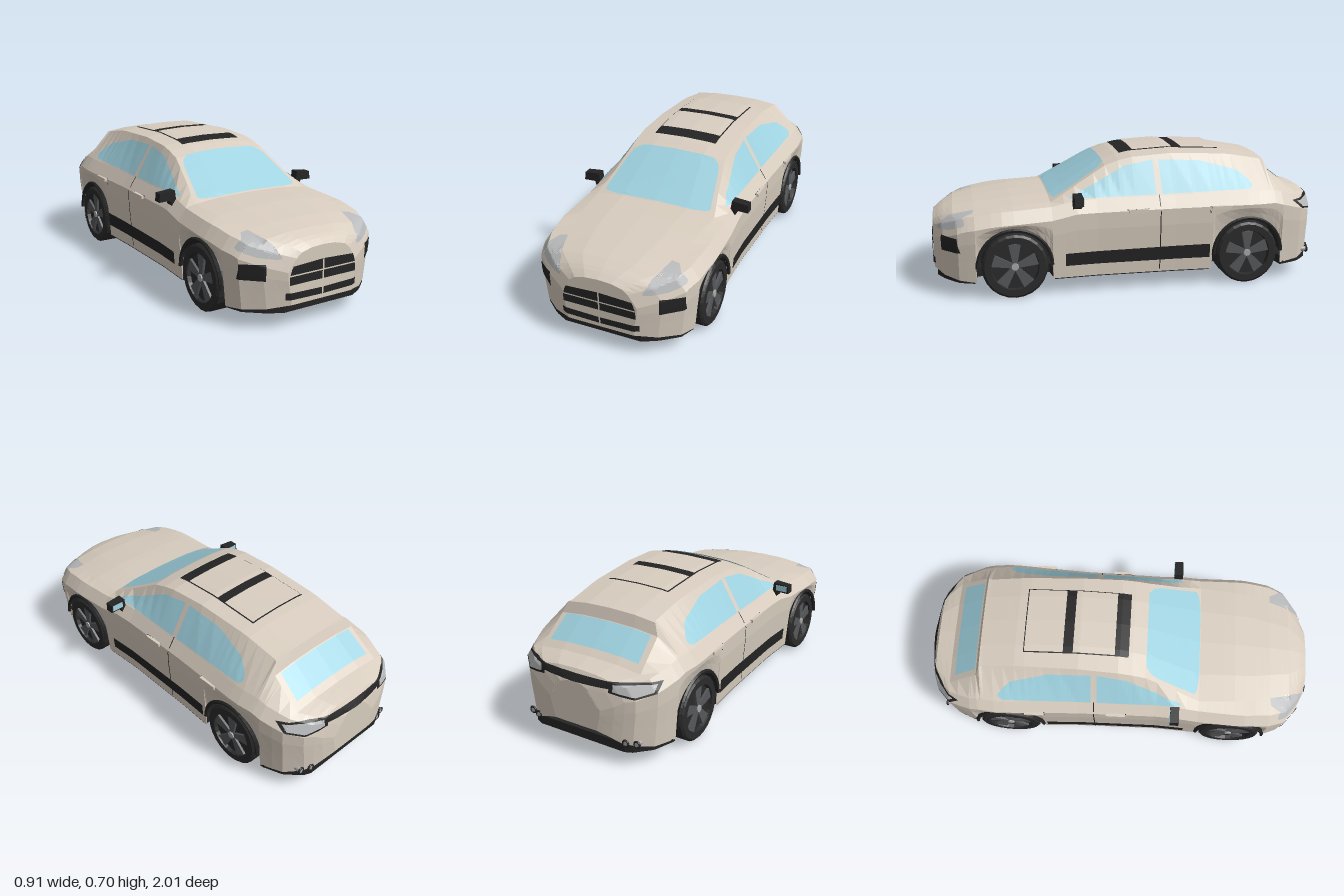
import * as THREE from 'three';

const mat = (color, flat = true) => new THREE.MeshStandardMaterial({ color, flatShading: flat, side: THREE.DoubleSide });
const PAINT = mat(0xd8cdbf), BLACK = mat(0x242424), GLASS = mat(0x9fd2e0), LAMP = mat(0xb9babb);
const RUBBER = mat(0x2a2a2b), SPOKE = mat(0x56575a), SILVER = mat(0xa8a8a8);

// Piecewise linear curve through [z, value] pairs
const curve = (pts) => (z) => {
  if (z <= pts[0][0]) return pts[0][1];
  for (let i = 1; i < pts.length; i++) {
    const [a, va] = pts[i - 1], [b, vb] = pts[i];
    if (z <= b) return va + (vb - va) * (z - a) / (b - a);
  }
  return pts[pts.length - 1][1];
};

const WHEEL_Z = [0.61, -0.58], AXLE_Y = 0.163, ARCH_R = 0.185;
const halfWidth = curve([[-1, 0.14], [-0.98, 0.23], [-0.95, 0.3], [-0.88, 0.37], [-0.78, 0.408], [-0.62, 0.425], [-0.42, 0.415],
  [-0.2, 0.405], [0.2, 0.4], [0.45, 0.412], [0.65, 0.42], [0.8, 0.405], [0.88, 0.375], [0.95, 0.29], [0.985, 0.22], [1, 0.19]]);
const topY = curve([[-1, 0.39], [-0.97, 0.44], [-0.88, 0.462], [-0.725, 0.58], [-0.705, 0.635], [-0.5, 0.672], [-0.2, 0.686],
  [0, 0.675], [0.07, 0.66], [0.14, 0.637], [0.42, 0.475], [0.6, 0.466], [0.8, 0.442], [0.9, 0.422], [0.96, 0.398], [1, 0.37]]);
const beltY = curve([[-1, 0.34], [-0.97, 0.4], [-0.88, 0.435], [-0.72, 0.48], [0.3, 0.47], [0.42, 0.445], [0.7, 0.43],
  [0.85, 0.405], [0.95, 0.36], [1, 0.33]]);
const roofX = curve([[-1, 0.07], [-0.97, 0.2], [-0.88, 0.28], [-0.72, 0.27], [-0.7, 0.238], [-0.2, 0.248], [0.14, 0.26],
  [0.3, 0.29], [0.42, 0.32], [0.7, 0.3], [0.9, 0.24], [1, 0.12]]);
const bottomY = curve([[-1, 0.17], [-0.97, 0.125], [-0.9, 0.1], [-0.7, 0.085], [0.8, 0.085], [0.95, 0.1], [1, 0.115]]);

const sillY = (z) => {
  for (const w of WHEEL_Z) {
    const d = Math.abs(z - w);
    if (d < ARCH_R + 0.0005) return AXLE_Y + Math.sqrt(Math.max(0, ARCH_R ** 2 - d * d));
  }
  return bottomY(z);
};

// Half cross-section from the sill up to the centre line
function section(z) {
  const w = halfWidth(z), s = sillY(z), by = beltY(z), sh = by - 0.06, t = topY(z);
  const bx = w - 0.042, rx = Math.min(roofX(z), bx - 0.02);
  const at = (k) => s + (sh - s) * k;
  const half = [[w - 0.022, s], [w - 0.012, at(0.4)], [w - 0.002, at(0.75)], [w, sh], [bx, by], [rx, Math.max(t - 0.018, by + 0.004)],
    [rx * 0.55, t - 0.004], [0, t]];
  const other = half.slice(0, -1).reverse().map(([x, y]) => [-x, y]);
  return [...half, ...other].map(([x, y]) => [x, y, z]);
}

// Painted shell lofted through the cross-sections, capped at nose and tail
function bodyShell() {
  const zs = [-1, -0.985, -0.97, -0.95, -0.915, -0.88, -0.83, -0.725, -0.705, -0.3, -0.2, -0.1, 0, 0.07, 0.14, 0.2, 0.3, 0.36,
    0.83, 0.86, 0.88, 0.9, 0.93, 0.95, 0.97, 0.985, 1];
  for (const w of WHEEL_Z) {
    for (let i = 0; i <= 10; i++) zs.push(w + ARCH_R * Math.cos(i * Math.PI / 10));
    zs.push(w + ARCH_R + 0.002, w - ARCH_R - 0.002);
  }
  zs.sort((a, b) => a - b);
  const rings = zs.map(section), p = [];
  for (let i = 0; i + 1 < rings.length; i++) {
    for (let j = 0; j + 1 < rings[i].length; j++) {
      const a = rings[i][j], b = rings[i][j + 1], c = rings[i + 1][j + 1], d = rings[i + 1][j];
      p.push(...a, ...b, ...c, ...a, ...c, ...d);
    }
  }
  for (const [ring, flip] of [[rings[0], true], [rings[rings.length - 1], false]]) {
    const mid = [0, 0.25, ring[0][2]];
    ring.forEach((a, j) => {
      const b = ring[(j + 1) % ring.length];
      p.push(...mid, ...(flip ? b : a), ...(flip ? a : b));
    });
  }
  const g = new THREE.BufferGeometry();
  g.setAttribute('position', new THREE.Float32BufferAttribute(p, 3));
  g.computeVertexNormals();
  return g;
}

export function createModel() {
  const car = new THREE.Group();
  car.name = 'car';
  const add = (name, geo, material, pos = [0, 0, 0], parent = car) => {
    const m = new THREE.Mesh(geo, material);
    m.name = name;
    m.position.set(...pos);
    parent.add(m);
    return m;
  };
  const box = (x, y, z) => new THREE.BoxGeometry(x, y, z);
  const body = add('bodyShell', bodyShell(), PAINT);
  body.updateMatrixWorld();

  // Thin panel draped on the shell along an axis; rows are [u, low, high]
  const ray = new THREE.Raycaster();
  function drape(name, material, axis, sign, rows, off = 0.005, mirror = 1) {
    const lo = curve(rows.map((r) => [r[0], r[1]])), hi = curve(rows.map((r) => [r[0], r[2]]));
    const u0 = rows[0][0], u1 = rows[rows.length - 1][0], n = 24, m = 10, pts = [], idx = [];
    const dir = new THREE.Vector3();
    dir[axis] = -sign;
    for (let i = 0; i <= n; i++) {
      for (let j = 0; j <= m; j++) {
        const u = u0 + (u1 - u0) * i / n, v = lo(u) + (hi(u) - lo(u)) * j / m;
        const o = axis === 'x' ? new THREE.Vector3(0, v, u) : axis === 'y' ? new THREE.Vector3(v, 0, u) : new THREE.Vector3(mirror * u, v, 0);
        o[axis] = 2 * sign;
        ray.set(o, dir);
        const hit = ray.intersectObject(body)[0];
        pts.push(hit ? hit.point.addScaledVector(dir, -off) : null);
      }
    }
    for (let i = 0; i < n; i++) {
      for (let j = 0; j < m; j++) {
        const a = i * (m + 1) + j, q = [a, a + 1, a + m + 2, a + m + 1];
        if (q.every((k) => pts[k])) idx.push(q[0], q[1], q[2], q[0], q[2], q[3]);
      }
    }
    const g = new THREE.BufferGeometry();
    g.setAttribute('position', new THREE.Float32BufferAttribute(pts.flatMap((v) => (v ? v.toArray() : [0, 0.2, 0])), 3));
    g.setIndex(idx);
    g.computeVertexNormals();
    return add(name, g, material);
  }

  // Windscreen, rear window and sunroof
  drape('windscreen', GLASS, 'y', 1, [[0.14, -0.2, 0.2], [0.165, -0.235, 0.235], [0.2, -0.25, 0.25], [0.405, -0.29, 0.29], [0.42, -0.2, 0.2]]);
  drape('rearWindow', GLASS, 'y', 1, [[-0.85, -0.25, 0.25], [-0.732, -0.24, 0.24]]);
  drape('sunroofFrame', BLACK, 'y', 1, [[-0.48, -0.172, 0.172], [0.05, -0.172, 0.172]], 0.008);
  for (const [a, b] of [[-0.475, -0.28], [-0.23, -0.02]]) {
    drape('sunroofPanel', PAINT, 'y', 1, [[a, -0.167, 0.167], [b, -0.167, 0.167]], 0.011);
  }

  // Front grille, lower intake and their dividers
  for (const s of [1, -1]) {
    drape('upperGrille', BLACK, 'z', 1, [[0.004, 0.257, 0.305], [0.17, 0.257, 0.297], [0.182, 0.257, 0.26]], 0.005, s);
    drape('middleGrille', BLACK, 'z', 1, [[0.004, 0.211, 0.25], [0.185, 0.211, 0.25]], 0.005, s);
    drape('lowerIntake', BLACK, 'z', 1, [[0.004, 0.138, 0.17], [0.198, 0.142, 0.175]], 0.005, s);
    drape('bumperVent', BLACK, 'z', 1, [[0.28, 0.235, 0.312], [0.375, 0.237, 0.31]], 0.006, s);
    drape('headlamp', LAMP, 'z', 1, [[0.21, 0.33, 0.34], [0.235, 0.33, 0.395], [0.27, 0.335, 0.425], [0.31, 0.34, 0.42],
      [0.35, 0.355, 0.4], [0.37, 0.365, 0.375]], 0.005, s);

    // Tail lamps with dark surround
    drape('tailLampSurround', BLACK, 'z', -1, [[0.18, 0.375, 0.425], [0.3, 0.355, 0.425], [0.37, 0.375, 0.42]], 0.005, s);
    drape('tailLamp', LAMP, 'z', -1, [[0.2, 0.383, 0.415], [0.3, 0.365, 0.417], [0.36, 0.382, 0.412]], 0.008, s);

    // Side glass, door seams and sill strip
    drape('rearSideWindow', GLASS, 'x', s, [[-0.61, 0.505, 0.515], [-0.595, 0.492, 0.535], [-0.54, 0.49, 0.58], [-0.35, 0.486, 0.63],
      [-0.135, 0.482, 0.642]]);
    drape('frontSideWindow', GLASS, 'x', s, [[-0.105, 0.482, 0.642], [0.04, 0.48, 0.62], [0.22, 0.478, 0.53], [0.33, 0.478, 0.482]]);
    drape('doorSeam', BLACK, 'x', s, [[-0.122, 0.1, 0.48], [-0.117, 0.1, 0.48]], 0.003);
    drape('sillStrip', BLACK, 'x', s, [[-0.41, 0.15, 0.222], [0.36, 0.148, 0.212]], 0.007);

    // Door handles
    for (const z of [-0.005, -0.43]) {
      add('doorHandle', box(0.018, 0.016, 0.1), PAINT, [s * (halfWidth(z) + 0.002), 0.412, z]);
      add('handleRecess', box(0.006, 0.034, 0.112), BLACK, [s * (halfWidth(z) - 0.006), 0.403, z]);
    }

    // Wing mirror
    const mirror = new THREE.Group();
    mirror.name = 'wingMirror';
    car.add(mirror);
    const shell = new THREE.Shape([[0.365, 0.47], [0.37, 0.508], [0.452, 0.5], [0.455, 0.458], [0.395, 0.46], [0.385, 0.425], [0.352, 0.455]]
      .map(([x, y]) => new THREE.Vector2(s * x, y)));
    const housing = new THREE.ExtrudeGeometry(shell, { depth: 0.045, bevelEnabled: false });
    add('mirrorHousing', housing, BLACK, [0, 0, 0.275], mirror);
    add('mirrorGlass', box(0.062, 0.03, 0.004), GLASS, [s * 0.415, 0.482, 0.274], mirror);

    // Twin exhausts
    for (const x of [0.25, 0.3]) {
      const pipe = new THREE.TorusGeometry(0.015, 0.005, 6, 12);
      const z = x > 0.27 ? -0.95 : -0.967;
      add('exhaustRing', pipe, BLACK, [s * x, 0.13, z]);
      add('exhaustPipe', new THREE.CylinderGeometry(0.013, 0.013, 0.06, 12).rotateX(Math.PI / 2), SILVER, [s * x, 0.13, z + 0.028]);
    }
  }
  drape('tailStrip', BLACK, 'z', -1, [[-0.2, 0.392, 0.425], [0.2, 0.392, 0.425]], 0.006);
  drape('plateRecess', PAINT, 'z', -1, [[-0.15, 0.29, 0.36], [0.15, 0.29, 0.36]], 0.004);

  // Underbody with cut-outs for the wheels
  const side = [];
  const near = (z) => WHEEL_Z.some((w) => Math.abs(z - w) < ARCH_R);
  for (let z = 0.985; z >= -0.98; z -= 0.015) side.push(new THREE.Vector2(near(z) ? 0.27 : halfWidth(z) - 0.024, z));
  const plan = new THREE.Shape([...side, ...side.slice().reverse().map((v) => new THREE.Vector2(-v.x, v.y))]);
  add('underbody', new THREE.ExtrudeGeometry(plan, { depth: 0.045, bevelEnabled: false }).rotateX(Math.PI / 2), BLACK, [0, 0.125, 0]);

  // Wheels and arch liners
  const tyre = new THREE.LatheGeometry([[0.02, -0.065], [0.15, -0.065], [0.161, -0.055], [0.161, 0.055], [0.15, 0.065], [0.118, 0.065],
    [0.114, 0.045], [0, 0.045]].map(([x, y]) => new THREE.Vector2(x, y)), 24).rotateZ(-Math.PI / 2);
  const spokeShape = new THREE.Shape([[-0.012, 0.015], [0.012, 0.015], [0.03, 0.112], [-0.03, 0.112]].map((q) => new THREE.Vector2(...q)));
  const spoke = new THREE.ExtrudeGeometry(spokeShape, { depth: 0.012, bevelEnabled: false }).rotateY(Math.PI / 2);
  const liner = new THREE.CylinderGeometry(ARCH_R, ARCH_R, 0.14, 20, 1, true, 0, Math.PI).rotateZ(Math.PI / 2).rotateX(0);
  for (const z of WHEEL_Z) {
    for (const s of [1, -1]) {
      const wheel = new THREE.Group();
      wheel.name = z > 0 ? 'frontWheel' : 'rearWheel';
      wheel.position.set(s * 0.342, 0.161, z);
      wheel.rotation.y = s > 0 ? 0 : Math.PI;
      car.add(wheel);
      add('tyre', tyre, RUBBER, [0, 0, 0], wheel);
      for (let i = 0; i < 5; i++) add('spoke', spoke, SPOKE, [0.046, 0, 0], wheel).rotation.x = i * Math.PI * 0.4;
      add('hub', new THREE.CylinderGeometry(0.018, 0.02, 0.02, 10).rotateZ(-Math.PI / 2), SILVER, [0.054, 0, 0], wheel);

      // Half-tube above the wheel, with its inner wall
      const arch = new THREE.Group();
      arch.name = 'wheelArch';
      arch.position.set(s * 0.335, AXLE_Y, z);
      car.add(arch);
      const tube = add('archLiner', liner, BLACK, [0, 0, 0], arch);
      tube.geometry.computeBoundingBox();
      if (tube.geometry.boundingBox.max.y < 0.1) tube.rotation.x = Math.PI;
      add('archWall', new THREE.CircleGeometry(ARCH_R, 20, 0, Math.PI).rotateY(Math.PI / 2), BLACK, [-s * 0.066, 0, 0], arch);
      const lip = new THREE.TorusGeometry(ARCH_R - 0.004, 0.01, 5, 20, Math.PI).rotateY(Math.PI / 2);
      add('archLip', lip, BLACK, [s * 0.068, 0, 0], arch);
    }
  }
  return car;
}
